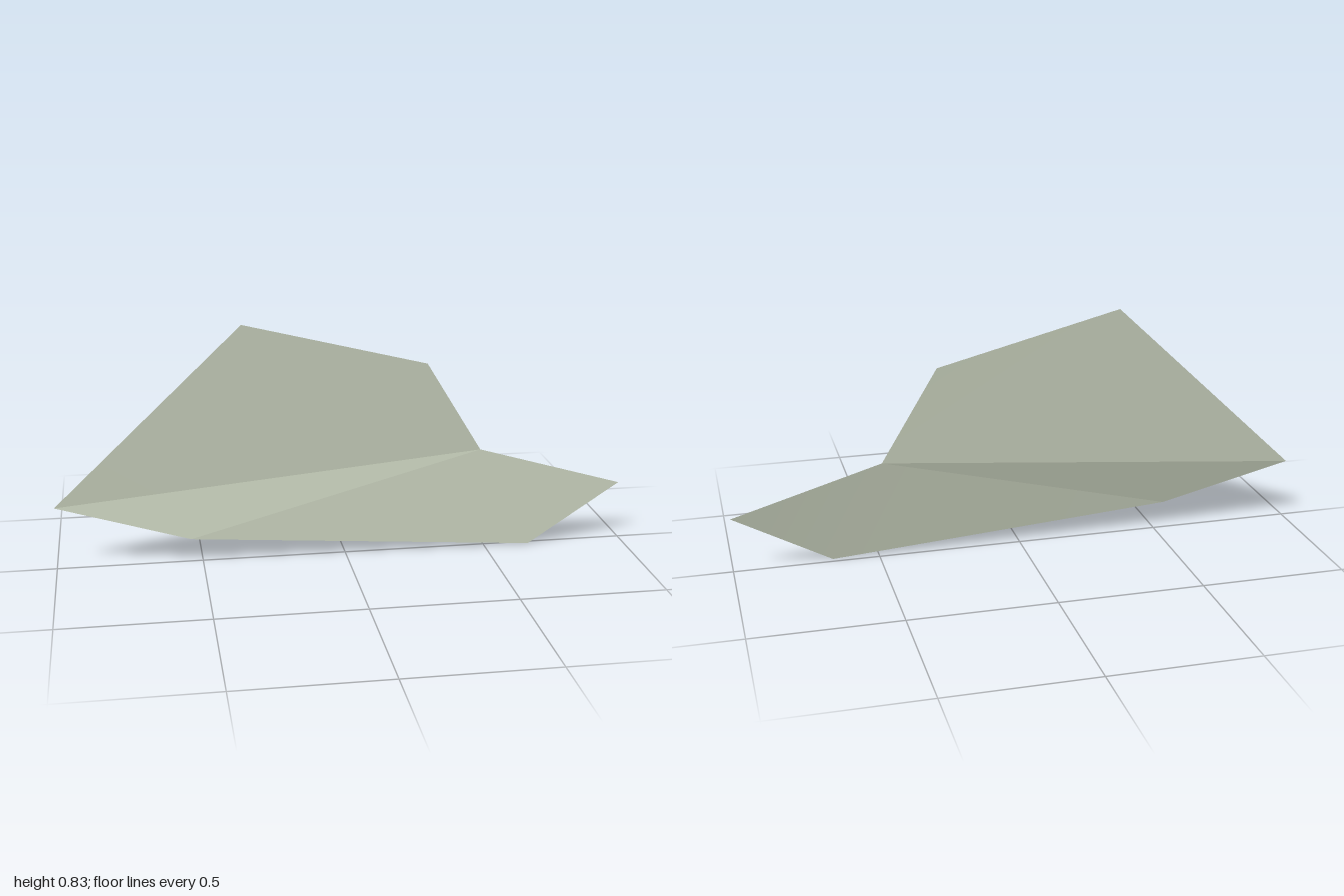
import * as THREE from 'three';

// Corners of the thin folded sheet
const corner = {
  leftTip: [-1, 0.215, -0.014],
  crest: [-0.35, 0.83, -0.013],
  shoulder: [0.29, 0.67, -0.017],
  notch: [0.485, 0.35, -0.0185],
  rightTip: [1, 0.2, -0.019],
  lowerRight: [0.66, 0, 0.019],
  lowerLeft: [-0.54, 0.088, 0.019],
};

// Panel: a fan of triangles, corners counter-clockwise from the front,
// smooth inside the panel and creased along its edges
function panel(name, names, material) {
  const geometry = new THREE.BufferGeometry();
  const points = names.flatMap((n) => corner[n]);
  const index = [];
  for (let i = 1; i < names.length - 1; i++) index.push(0, i, i + 1);
  geometry.setAttribute('position', new THREE.Float32BufferAttribute(points, 3));
  geometry.setIndex(index);
  geometry.computeVertexNormals();
  const mesh = new THREE.Mesh(geometry, material);
  mesh.name = name;
  return mesh;
}

export function createModel() {
  const group = new THREE.Group();
  group.name = 'foldedShard';
  const sage = new THREE.MeshStandardMaterial({ color: 0xcad2be, side: THREE.DoubleSide });
  sage.name = 'paleSage';

  // Upright upper panel, narrow fold and slanted lower panel
  group.add(
    panel('upperPanel', ['notch', 'shoulder', 'crest', 'leftTip'], sage),
    panel('foldPanel', ['leftTip', 'lowerLeft', 'notch'], sage),
    panel('lowerPanel', ['notch', 'lowerLeft', 'lowerRight', 'rightTip'], sage),
  );
  return group;
}
